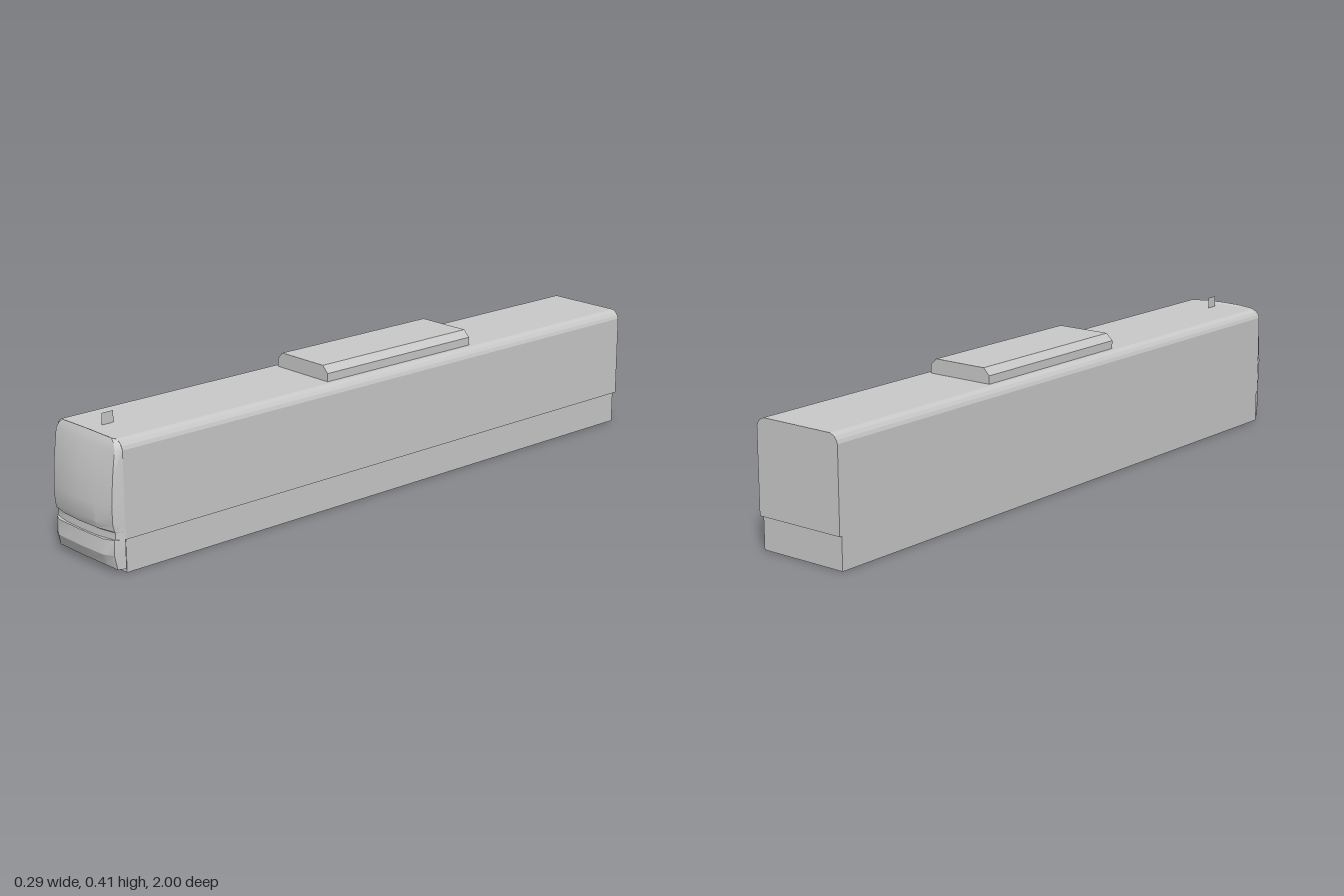
import * as THREE from 'three';
import { toCreasedNormals } from 'three/addons/utils/BufferGeometryUtils.js';

const grey = new THREE.MeshStandardMaterial({ color: 0xc8c8c8, side: THREE.DoubleSide });
grey.name = 'grey';

export function createModel() {
  const group = new THREE.Group();
  group.name = 'railCar';

  const add = (name, geometry, x = 0, y = 0, z = 0) => {
    const mesh = new THREE.Mesh(geometry, grey);
    mesh.name = name;
    mesh.position.set(x, y, z);
    group.add(mesh);
    return mesh;
  };
  const box = (name, w, h, d, x, y, z) => add(name, new THREE.BoxGeometry(w, h, d), x, y, z);

  // Mirrored outline (one half, bottom to top) extruded along z
  const prism = (half, z0, z1) => {
    const mirrored = half.slice().reverse().map(([x, y]) => [-x, y]);
    const shape = new THREE.Shape([...half, ...mirrored].map(([x, y]) => new THREE.Vector2(x, y)));
    return new THREE.ExtrudeGeometry(shape, { depth: z1 - z0, bevelEnabled: false }).translate(0, 0, z0);
  };

  // Curved end cover: rows of [y, half width, front z, crown];
  // columns of [fraction of half width, fraction of bulge, fraction of crown], mirrored
  const back = 0.95;
  const noseCover = (rows, half) => {
    const columns = [...half.map(([f, ...rest]) => [-f, ...rest]), ...half.slice(0, -1).reverse()];
    const positions = [], index = [], n = columns.length;
    rows.forEach(([y, hw, front, crown = 0], r) => {
      columns.forEach(([f, bow, lift], c) => {
        positions.push(f * hw, y + crown * lift, back + (front - back) * bow);
        if (r && c) {
          const d = r * n + c, b = d - n;
          index.push(b - 1, d - 1, b, b, d - 1, d);
        }
      });
    });
    const g = new THREE.BufferGeometry();
    g.setAttribute('position', new THREE.Float32BufferAttribute(positions, 3));
    g.setIndex(index);
    return toCreasedNormals(g, 0.4);
  };

  // Main body with rounded roof edges, lower rims and a raised floor
  add('body', prism([
    [0.138, 0.12], [0.138, 0.095], [0.145, 0.095], [0.145, 0.34],
    [0.141, 0.35], [0.134, 0.359], [0.12, 0.366],
  ], -1, back));
  box('rearSill', 0.276, 0.025, 0.004, 0, 0.1075, -0.998);

  // Cab front with sloping windscreen and a recessed band beneath it
  add('cabFront', noseCover([
    [0.366, 0.12, 0.95],
    [0.365, 0.12, 0.962, 0.006],
    [0.358, 0.135, 0.968],
    [0.34, 0.145, 0.975],
    [0.27, 0.145, 0.99],
    [0.19, 0.145, 1.0],
    [0.137, 0.145, 0.998],
    [0.118, 0.145, 0.99],
    [0.115, 0.145, 0.985],
    [0.095, 0.145, 0.986],
    [0.095, 0.145, 0.95],
  ], [[1, 0, 0], [0.9, 0.6, 0.3], [0.5, 0.92, 0.8], [0, 1, 1]]));

  // Lower front apron with angled corners, open underneath
  add('frontApron', noseCover([
    [0.095, 0.145, 0.95],
    [0.095, 0.145, 0.992],
    [0.052, 0.145, 0.995],
    [0.01, 0.144, 0.978, 0.006],
  ], [[1, 0, 0.6], [0.9, 0.6, 0], [0.69, 0.93, 1], [0, 1, 1]]));

  // Skirt: thin walls around the open underside, set slightly to the right
  box('leftSkirt', 0.003, 0.095, 1.937, 0.138, 0.0475, -0.0235);
  box('rightSkirt', 0.003, 0.095, 1.937, -0.143, 0.0475, -0.0235);
  box('rearSkirt', 0.284, 0.095, 0.003, -0.0025, 0.0475, -0.9905);
  box('frontSkirt', 0.284, 0.095, 0.003, -0.0025, 0.0475, 0.9435);

  // Cross beams under the floor
  for (const z of [0.83, 0.92]) box('crossBeam', 0.276, 0.014, 0.025, 0, 0.1, z);

  // Roof equipment with chamfered sides
  add('roofUnit', prism([[0.107, 0.363], [0.107, 0.39], [0.087, 0.41]], -0.36, 0.207));

  // Flat aerial fin above the cab
  add('aerial', new THREE.PlaneGeometry(0.038, 0.034).rotateY(Math.PI / 2), 0, 0.382, 0.89);

  return group;
}
